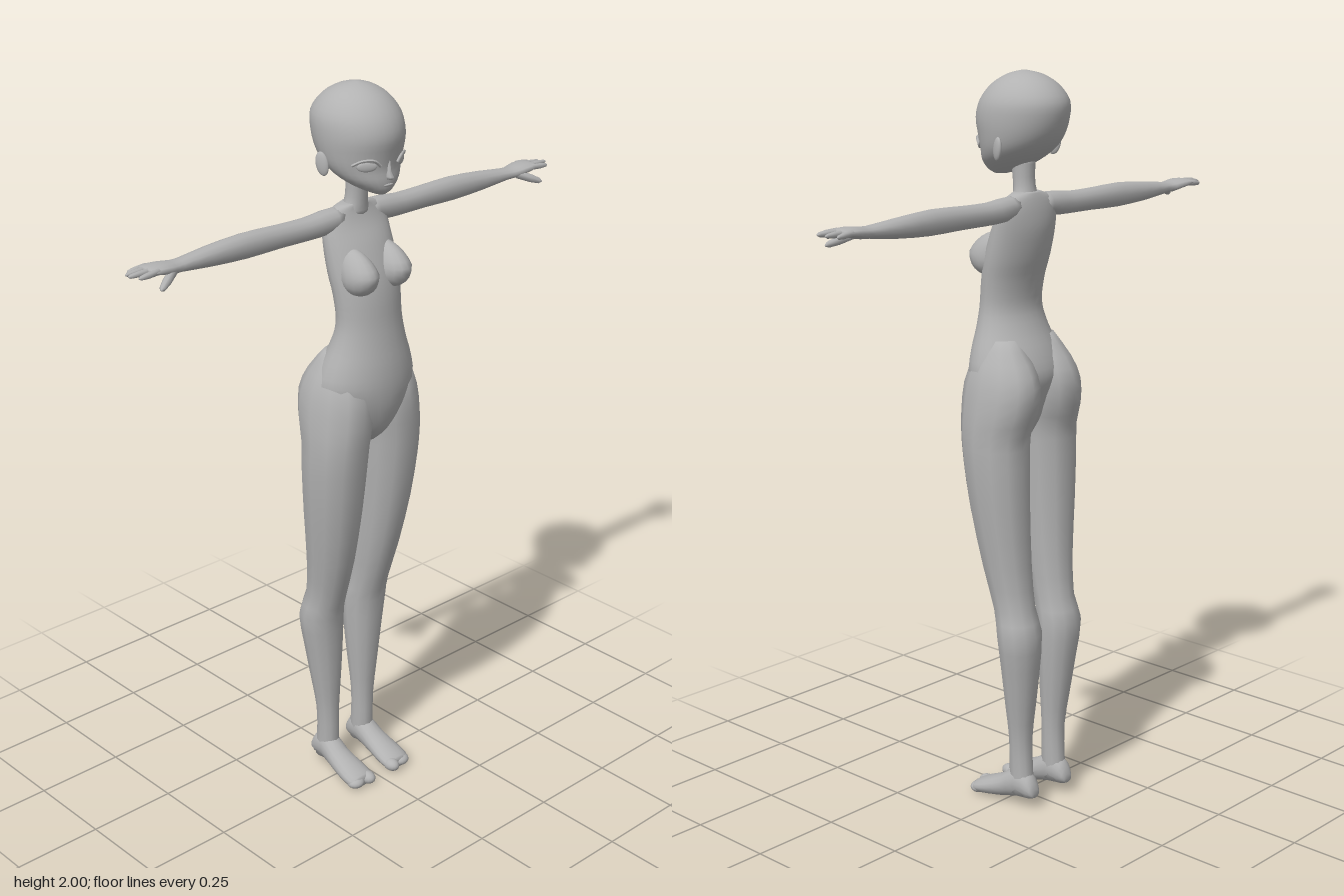
import * as THREE from 'three';

const skin = new THREE.MeshStandardMaterial({ color: 0xb2b2b2 });
skin.name = 'plain grey';

// Smooth interpolation of one value between b and c
const spline = (a, b, c, d, t) => b + 0.5 * t * (c - a + t * (2 * a - 5 * b + 4 * c - d + t * (3 * (b - c) + d - a)));

// Closed skin through oval sections [y, xMin, xMax, zFront, zBack], from low to high y
function loft(sections, sides, steps) {
  const rows = [];
  const at = i => sections[Math.min(Math.max(i, 0), sections.length - 1)];
  for (let i = 0; i < sections.length - 1; i++)
    for (let s = 0; s < steps; s++)
      rows.push(at(i).map((v, k) => spline(at(i - 1)[k], v, at(i + 1)[k], at(i + 2)[k], s / steps)));
  rows.push(sections.at(-1));
  const pos = [], index = [];
  for (const [y, x0, x1, zf, zb] of rows)
    for (let j = 0; j < sides; j++) {
      const t = (j / sides) * Math.PI * 2;
      pos.push((x0 + x1) / 2 + (x1 - x0) / 2 * Math.sin(t), y, (zf + zb) / 2 + (zf - zb) / 2 * Math.cos(t));
    }
  for (let i = 0; i < rows.length - 1; i++)
    for (let j = 0; j < sides; j++) {
      const k = (j + 1) % sides, a = i * sides, b = a + sides;
      index.push(a + j, a + k, b + k, a + j, b + k, b + j);
    }
  // end caps
  const n = rows.length * sides, last = n - sides;
  for (const [y, x0, x1, zf, zb] of [rows[0], rows.at(-1)]) pos.push((x0 + x1) / 2, y, (zf + zb) / 2);
  for (let j = 0; j < sides; j++) {
    const k = (j + 1) % sides;
    index.push(n, k, j, n + 1, last + j, last + k);
  }
  const g = new THREE.BufferGeometry();
  g.setAttribute('position', new THREE.Float32BufferAttribute(pos, 3));
  g.setIndex(index);
  g.computeVertexNormals();
  return g;
}

// Section symmetric about x = 0
const mid = ([y, w, zf, zb]) => [y, -w, w, zf, zb];

const ball = (x, y, z, rx, ry, rz) =>
  new THREE.SphereGeometry(1, 16, 12).scale(rx, ry, rz).translate(x, y, z);

// Tapered round finger between two points
function finger(a, b, r) {
  const from = new THREE.Vector3(...a), to = new THREE.Vector3(...b);
  const len = from.distanceTo(to);
  const g = loft([[0, -r, r, r, -r], [len * 0.55, -r, r, r, -r], [len * 0.9, -r * 0.7, r * 0.7, r * 0.7, -r * 0.7],
    [len, -r * 0.2, r * 0.2, r * 0.2, -r * 0.2]], 8, 1);
  const q = new THREE.Quaternion().setFromUnitVectors(new THREE.Vector3(0, 1, 0), to.sub(from).normalize());
  return g.applyQuaternion(q).translate(...a);
}

function mirrored(g) {
  const m = g.clone().scale(-1, 1, 1);
  const ix = m.index.array;
  for (let i = 0; i < ix.length; i += 3) [ix[i], ix[i + 1]] = [ix[i + 1], ix[i]];
  m.computeVertexNormals();
  return m;
}

export function createModel() {
  const model = new THREE.Group();
  model.name = 'mannequin';
  const add = (name, g) => {
    const mesh = new THREE.Mesh(g, skin);
    mesh.name = name;
    model.add(mesh);
  };
  const pair = (name, g) => {
    add(name + 'Left', g);
    add(name + 'Right', mirrored(g));
  };

  // Trunk from crotch to neck base
  add('torso', loft([
    [1.05, 0.02, 0.06, -0.03], [1.09, 0.055, 0.1, -0.05], [1.15, 0.11, 0.122, -0.07], [1.21, 0.148, 0.129, -0.085],
    [1.27, 0.137, 0.126, -0.068], [1.33, 0.114, 0.117, -0.04], [1.39, 0.1, 0.108, -0.022], [1.46, 0.102, 0.1, -0.03],
    [1.52, 0.107, 0.086, -0.047], [1.59, 0.108, 0.058, -0.058], [1.64, 0.105, 0.03, -0.055],
    [1.675, 0.085, 0.016, -0.047], [1.692, 0.04, 0.015, -0.04],
  ].map(mid), 24, 3));

  // Chest: spheres sloped back toward the top
  const chest = ball(0, 0, 0, 0.043, 0.06, 0.062);
  const p = chest.attributes.position;
  for (let i = 0; i < p.count; i++) {
    const up = p.getY(i) / 0.06;
    p.setZ(i, p.getZ(i) - 0.03 * Math.max(up, 0));
    p.setX(i, p.getX(i) * (1 - 0.2 * up));
  }
  chest.translate(0.057, 1.53, 0.066).computeVertexNormals();
  pair('chest', chest);

  add('neck', loft([
    [1.66, 0.05, 0.02, -0.045], [1.69, 0.033, 0.022, -0.037], [1.73, 0.029, 0.026, -0.032], [1.79, 0.032, 0.035, -0.036],
  ].map(mid), 16, 2));

  // Head from chin to crown
  add('head', loft([
    [1.732, 0.014, 0.098, 0.06], [1.745, 0.042, 0.112, 0.015], [1.77, 0.077, 0.116, -0.035], [1.8, 0.098, 0.114, -0.078],
    [1.835, 0.108, 0.12, -0.108], [1.88, 0.113, 0.128, -0.126], [1.925, 0.108, 0.115, -0.128],
    [1.965, 0.082, 0.082, -0.098], [1.99, 0.044, 0.04, -0.055], [2, 0.006, 0.002, -0.01],
  ].map(mid), 28, 3));

  // Face: nose, lips, lids and eyes
  add('nose', loft([
    [1.775, 0.007, 0.127, 0.1], [1.782, 0.009, 0.132, 0.1], [1.795, 0.006, 0.122, 0.1], [1.83, 0.003, 0.117, 0.1],
  ].map(mid), 8, 1));
  add('lips', ball(0, 1.76, 0.112, 0.016, 0.004, 0.006));
  const lid = [[0.028, 1.812, 0.114], [0.045, 1.827, 0.111], [0.07, 1.828, 0.095], [0.088, 1.816, 0.074]];
  pair('upperLid', new THREE.TubeGeometry(
    new THREE.CatmullRomCurve3(lid.map(v => new THREE.Vector3(...v))), 12, 0.004, 6));
  pair('eye', ball(0, 0, 0, 0.026, 0.013, 0.005).rotateY(0.55).translate(0.058, 1.812, 0.096));

  // Ears
  pair('ear', ball(0, 0, 0, 0.008, 0.031, 0.018).rotateX(-0.2).rotateY(-0.35).translate(0.109, 1.808, -0.012));

  // Arms run along x; sections are [x, yMin, yMax, zFront, zBack]
  const arm = loft([
    [0.05, 1.63, 1.685, 0.015, -0.045], [0.1, 1.62, 1.684, 0.014, -0.05], [0.16, 1.618, 1.678, 0.011, -0.048],
    [0.25, 1.618, 1.679, 0.008, -0.048], [0.36, 1.616, 1.682, 0.008, -0.049], [0.47, 1.622, 1.674, 0.007, -0.048],
    [0.56, 1.632, 1.664, 0.008, -0.042], [0.59, 1.634, 1.665, 0.015, -0.047], [0.62, 1.64, 1.668, 0.02, -0.053],
    [0.65, 1.646, 1.667, 0.019, -0.054], [0.662, 1.65, 1.664, 0.014, -0.05],
  ].map(([x, y0, y1, zf, zb]) => [x, -y1, -y0, zf, zb]), 12, 2).rotateZ(-Math.PI / 2);
  pair('arm', arm);
  [[0.7, 0.013], [0.716, -0.007], [0.71, -0.027], [0.69, -0.047]].forEach(([tip, z], i) =>
    pair('finger' + (i + 1), finger([0.64, 1.657, z * 0.9 - 0.002], [tip, 1.657 - Math.abs(z + 0.01) * 0.15, z], 0.008)));
  pair('thumb', finger([0.592, 1.645, 0.002], [0.655, 1.62, 0.036], 0.011));

  // Legs, from ankle up into the hips
  pair('leg', loft([
    [0.04, 0.038, 0.097, -0.025, -0.095], [0.1, 0.036, 0.096, -0.02, -0.09], [0.2, 0.034, 0.1, -0.02, -0.086],
    [0.3, 0.026, 0.115, -0.014, -0.098], [0.41, 0.018, 0.132, -0.008, -0.112], [0.51, 0.015, 0.146, -0.001, -0.121],
    [0.58, 0.022, 0.136, 0.017, -0.1], [0.7, 0.018, 0.149, 0.052, -0.088], [0.85, 0.013, 0.168, 0.084, -0.085],
    [0.98, 0.008, 0.179, 0.103, -0.084], [1.06, 0.005, 0.179, 0.112, -0.086], [1.12, -0.004, 0.175, 0.117, -0.106],
    [1.19, -0.006, 0.165, 0.114, -0.112], [1.25, 0.006, 0.145, 0.09, -0.085], [1.31, 0.035, 0.11, 0.05, -0.035],
  ], 12, 2));

  // Feet run along z; sections are [z, xMin, xMax, yMin, yMax]
  pair('foot', loft([
    [-0.108, 0.052, 0.083, 0.036, 0.06], [-0.092, 0.041, 0.094, 0.029, 0.095], [-0.05, 0.035, 0.099, 0.024, 0.115],
    [0, 0.033, 0.106, 0.012, 0.082], [0.05, 0.027, 0.113, 0.003, 0.058], [0.085, 0.027, 0.113, 0, 0.042],
    [0.1, 0.035, 0.105, 0.004, 0.032],
  ].map(([z, x0, x1, y0, y1]) => [z, x0, x1, -y0, -y1]), 16, 2).rotateX(Math.PI / 2));
  pair('bigToe', ball(0.047, 0.019, 0.092, 0.02, 0.018, 0.026));
  pair('smallToes', ball(0.087, 0.017, 0.086, 0.026, 0.016, 0.024));

  return model;
}
